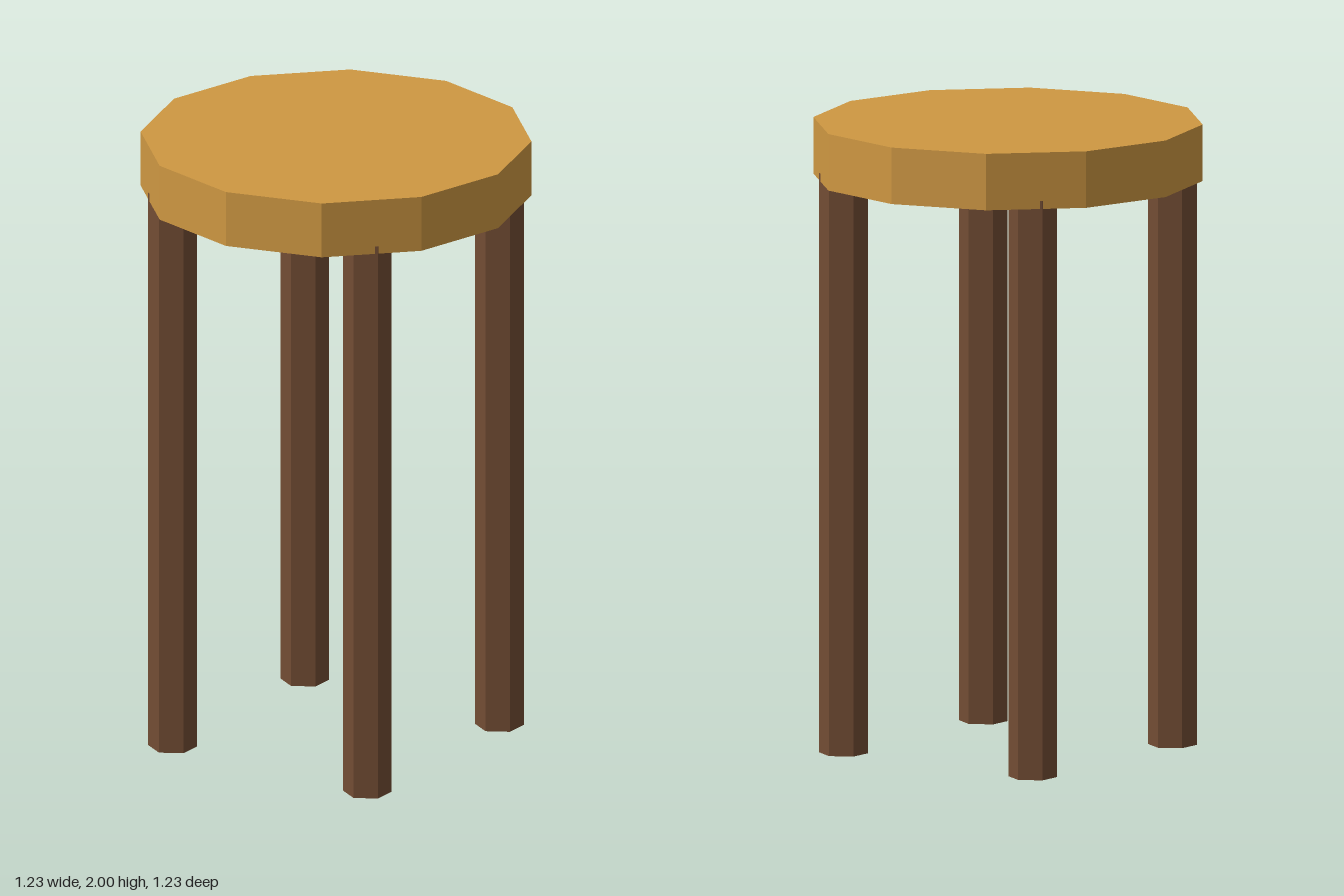
import * as THREE from 'three';

export function createModel() {
  const model = new THREE.Group();
  model.name = 'stool';

  const seatWood = new THREE.MeshStandardMaterial({ color: 0xcf9842, flatShading: true });
  seatWood.name = 'light wood';
  const legWood = new THREE.MeshStandardMaterial({ color: 0x734d34, flatShading: true });
  legWood.name = 'dark wood';

  // Twelve-sided seat
  const seatHeight = 0.18;
  const seat = new THREE.Mesh(new THREE.CylinderGeometry(0.615, 0.615, seatHeight, 12), seatWood);
  seat.name = 'seat';
  seat.position.y = 2 - seatHeight / 2;
  model.add(seat);

  // Four hexagonal legs, let a little way into the seat
  const legHeight = 1.845;
  const legOffset = 0.369;
  const legGeometry = new THREE.CylinderGeometry(0.077, 0.077, legHeight, 6);
  for (const [sideName, x] of [['Left', 1], ['Right', -1]]) {
    for (const [endName, z] of [['front', 1], ['back', -1]]) {
      const leg = new THREE.Mesh(legGeometry, legWood);
      leg.name = `${endName}${sideName}Leg`;
      leg.position.set(x * legOffset, legHeight / 2, z * legOffset);
      model.add(leg);
    }
  }

  return model;
}
